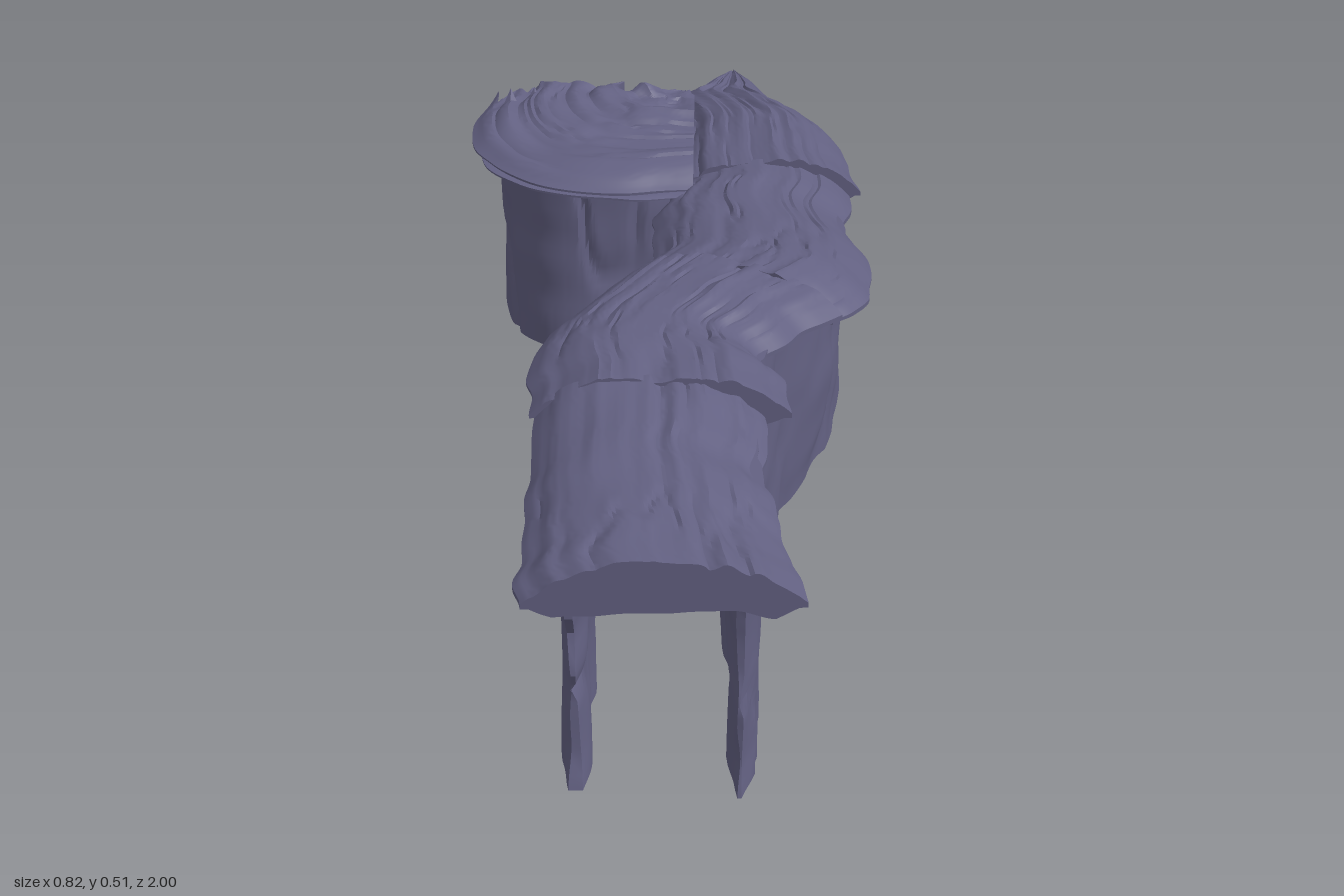
import * as THREE from 'three';
import { toCreasedNormals } from 'three/addons/utils/BufferGeometryUtils.js';

const { lerp, clamp } = THREE.MathUtils;

// Seeded smooth noise, 0..1
function hash(x, y) {
  const s = Math.sin(x * 127.1 + y * 311.7) * 43758.5453;
  return s - Math.floor(s);
}
function noise(x, y) {
  const i = Math.floor(x), j = Math.floor(y);
  const f = (t) => t * t * (3 - 2 * t);
  const u = f(x - i), v = f(y - j);
  return lerp(lerp(hash(i, j), hash(i + 1, j), u), lerp(hash(i, j + 1), hash(i + 1, j + 1), u), v);
}
// Narrow groove where the noise crosses its middle value
const crack = (x, y) => Math.max(0, 1 - Math.abs(noise(x, y) - 0.5) * 14);

// Piecewise linear value from [key, value] pairs with rising keys
function ramp(table, k) {
  for (let i = 1; i < table.length; i++) {
    const [k0, v0] = table[i - 1], [k1, v1] = table[i];
    if (k <= k1) return lerp(v0, v1, clamp((k - k0) / (k1 - k0), 0, 1));
  }
  return table[table.length - 1][1];
}

// Height of the roof ridge along z
const RIDGE = [[-1, 0.357], [-0.75, 0.415], [-0.43, 0.425], [-0.2, 0.442], [0, 0.465], [0.2, 0.487], [0.5, 0.507], [1, 0.492]];
const ridge = (z) => ramp(RIDGE, z);

const curve = (pts) => new THREE.CatmullRomCurve3(pts.map(([x, z]) => new THREE.Vector3(x, 0, z)));

// Skin closed rings of equal length and cap both ends
function loft(rings) {
  const n = rings.length, m = rings[0].length, pos = [], idx = [];
  rings.forEach((r) => r.forEach((p) => pos.push(p.x, p.y, p.z)));
  for (let i = 0; i < n - 1; i++) {
    for (let j = 0; j < m; j++) {
      const k = (j + 1) % m, a = i * m + j, b = i * m + k;
      idx.push(a, b, a + m, b, b + m, a + m);
    }
  }
  const e = (n - 1) * m;
  for (let j = 0; j < m / 2 - 1; j++) {
    const a = j, b = j + 1, c = m - 1 - j, d = m - 2 - j;
    idx.push(a, c, b, b, c, d);
    idx.push(e + a, e + b, e + c, e + b, e + d, e + c);
  }
  const g = new THREE.BufferGeometry();
  g.setAttribute('position', new THREE.Float32BufferAttribute(pos, 3));
  g.setIndex(idx);
  return toCreasedNormals(g, 0.5);
}

// Arched slab between two plan edges, thin at its rims, with grain running along it
function roofGeometry({ left, right, seed, lift = 0, height = null, drop = 0.075, edge = 0.035, jag = 0, rough = 0.012 }) {
  const L = curve(left), R = curve(right), N = 44, M = 64, rings = [];
  for (let i = 0; i <= N; i++) {
    const t = i / N, a = L.getPoint(t), b = R.getPoint(t);
    const ta = L.getTangent(t), tb = R.getTangent(t);
    const across = b.clone().sub(a).normalize();
    a.addScaledVector(across, (noise(t * 9, seed) - 0.5) * 0.02);
    b.addScaledVector(across, (noise(t * 9, seed + 5) - 0.5) * 0.02);
    const slim = clamp(a.distanceTo(b) / 0.28, 0.3, 1);
    const top = [], bottom = [];
    for (let j = 0; j <= M; j++) {
      const u = j / M, p = a.clone().lerp(b, u);
      // Splintered far end
      const splinter = jag * (noise(u * 15, seed + 9) - 0.5) * Math.pow(t, 8);
      p.addScaledVector(ta.clone().lerp(tb, u), splinter);
      const y0 = (height ?? ridge(p.z)) + lift;
      const arch = 1 - Math.pow(Math.abs(2 * u - 1), 3);
      const rim = slim * clamp(Math.min(u, 1 - u) * 9, 0.25, 1);
      const grain = (noise(u * 18, t * 1.3 + seed) - 0.5) * rough + (noise(u * 5, t * 4 + seed * 2) - 0.5) * rough
        - (crack(u * 8 + seed, t * 1.2) + crack(u * 13 + seed * 3, t * 1.5)) * 0.005;
      top.push(p.clone().setY(y0 - drop * slim * (1 - arch) + grain * rim));
      const under = (noise(u * 8, t * 7 + seed + 3) - 0.5) * 0.012;
      bottom.unshift(p.clone().setY(y0 - drop * slim + (0.018 * arch + under - edge) * rim));
    }
    rings.push([...top, ...bottom]);
  }
  return loft(rings);
}

// Thin upright wall following a plan path, split by vertical clefts and tapered at the ends;
// "retreat" pulls the far end back by height
function wallGeometry({ path, seed, top, thick = 0.05, retreat = [[0, 0], [1, 0.03]] }) {
  const C = curve(path), length = C.getLength(), N = 100, M = 18, rings = [];
  for (let i = 0; i <= N; i++) {
    const t = i / N, s = t * length, c = C.getPointAt(t), tan = C.getTangentAt(t);
    const side = new THREE.Vector3(-tan.z, 0, tan.x);
    const half = thick * 0.5 * clamp(0.3 + Math.min(s, length - s) * 10, 0, 1);
    const h = top(c.z), outer = [], inner = [];
    for (let j = 0; j <= M; j++) {
      const v = j / M;
      const ragged = 0.03 * noise(v * 7, seed + 4) * Math.pow(1 - t, 14) - ramp(retreat, v) * Math.pow(t, 12);
      const p = c.clone().addScaledVector(tan, ragged).setY(v * h);
      const bump = (k) => (noise(s * 8, v * 2 + seed + k) - 0.5) * 0.012 + (noise(s * 18, v * 6 + k) - 0.5) * 0.007
        - crack(s * 7 + seed + k, v * 1.3) * 0.01;
      outer.push(p.clone().addScaledVector(side, -half - bump(1)));
      inner.unshift(p.clone().addScaledVector(side, half + bump(7)));
    }
    rings.push([...outer, ...inner]);
  }
  return loft(rings);
}

export function createModel() {
  const group = new THREE.Group();
  const bark = new THREE.MeshStandardMaterial({ color: 0x636182 });
  bark.name = 'slate purple bark';
  const add = (name, geometry) => {
    const mesh = new THREE.Mesh(geometry, bark);
    mesh.name = name;
    group.add(mesh);
  };

  // Overlapping roof slabs, front to back
  add('frontRoof', roofGeometry({
    left: [[-0.235, 1], [-0.235, 0.85], [-0.235, 0.68], [-0.235, 0.49]],
    right: [[0.21, 1], [0.19, 0.85], [0.16, 0.68], [0.17, 0.49]], seed: 1,
  }));
  add('bendRoof', roofGeometry({
    left: [[-0.235, 0.51], [-0.235, 0.37], [-0.2, 0.2], [-0.14, 0.08], [-0.065, -0.04]],
    right: [[0.21, 0.51], [0.2, 0.385], [0.17, 0.34], [0.245, 0.23], [0.33, 0.145]], seed: 13, lift: 0.008,
  }));
  add('middleRoof', roofGeometry({
    left: [[-0.07, -0.02], [-0.025, -0.14], [-0.02, -0.25], [-0.01, -0.35], [0.02, -0.45]],
    right: [[0.32, 0.16], [0.385, 0.05], [0.4, -0.1], [0.37, -0.26], [0.39, -0.45]], seed: 25,
  }));
  add('rearRoof', roofGeometry({
    left: [[0.02, -0.43], [0.04, -0.6], [0.03, -0.74], [0.0, -0.83], [0.07, -0.91], [0.15, -0.997]],
    right: [[0.41, -0.43], [0.395, -0.56], [0.36, -0.68], [0.3, -0.77], [0.24, -0.86], [0.18, -0.997]],
    seed: 37, lift: 0.012, jag: 0.012,
  }));

  // Curled slab of the side branch, with a second layer of peeled bark below
  const curl = {
    left: [[0.06, -0.37], [-0.1, -0.345], [-0.27, -0.39], [-0.375, -0.51], [-0.405, -0.65], [-0.37, -0.78]],
    right: [[0.07, -0.8], [0.06, -0.82], [0.05, -0.82], [0.04, -0.82], [0.03, -0.81], [0.02, -0.8]],
  };
  add('branchRoof', roofGeometry({ ...curl, seed: 51, height: 0.437, drop: 0.035, edge: 0.018, jag: 0.12, rough: 0.026 }));
  add('branchUnderLayer', roofGeometry({ ...curl, seed: 63, height: 0.41, drop: 0.018, edge: 0.018, jag: 0.15 }));

  // Ragged splinters on the branch roof
  [[-0.33, -0.72, 0.457], [-0.28, -0.74, 0.452], [-0.19, -0.74, 0.44], [-0.1, -0.73, 0.44]].forEach(([x, z, y], i) => {
    const g = new THREE.ConeGeometry(0.028, 0.06, 5);
    g.rotateX(-0.5 - 0.15 * (i % 2));
    g.translate(x, y - 0.03, z);
    add('splinter', toCreasedNormals(g, 0.4));
  });

  // Walls
  add('rightSideWall', wallGeometry({
    path: [[0.12, 0.995], [0.13, 0.75], [0.128, 0.45], [0.17, 0.27], [0.27, 0.07], [0.325, -0.12], [0.335, -0.38], [0.295, -0.58], [0.205, -0.77], [0.13, -0.88], [0.07, -0.955]],
    seed: 3, top: (z) => ridge(z) - 0.06, retreat: [[0, 0], [0.12, 0.02], [0.3, 0.07], [0.6, 0.12], [0.85, 0.09], [1, 0.05]],
  }));
  add('leftSideWall', wallGeometry({
    path: [[-0.15, 0.97], [-0.15, 0.7], [-0.15, 0.4], [-0.1, 0.2], [-0.01, 0.02], [0.045, -0.15], [0.065, -0.3], [0.065, -0.44]],
    seed: 17, top: (z) => ridge(z) - 0.06,
  }));
  add('branchWall', wallGeometry({
    path: [[0.02, -0.44], [-0.1, -0.41], [-0.21, -0.415], [-0.29, -0.475], [-0.32, -0.57], [-0.322, -0.69], [-0.315, -0.8]],
    seed: 29, top: () => 0.405, thick: 0.045,
  }));
  return group;
}
